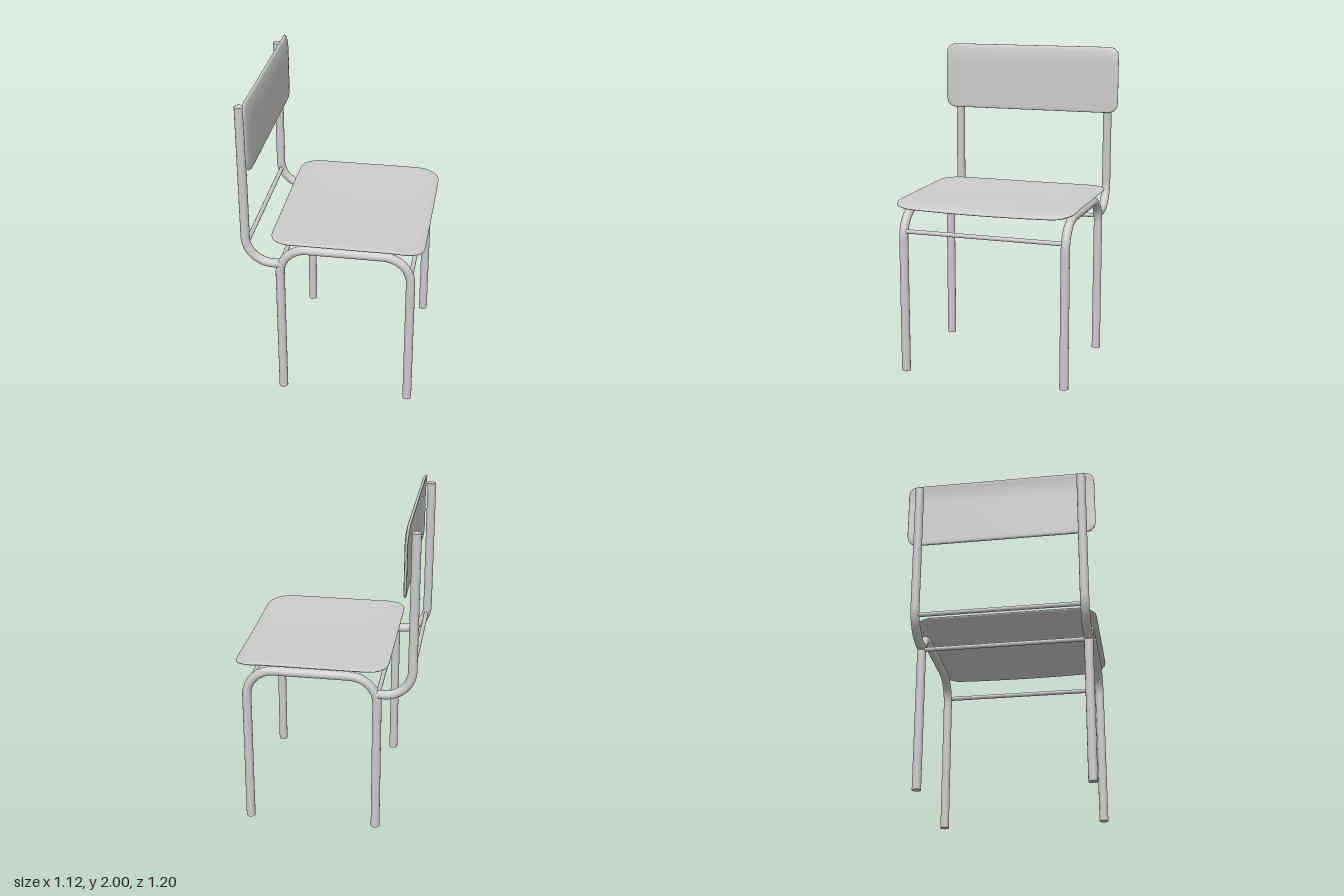
import * as THREE from 'three';

const material = new THREE.MeshStandardMaterial({ color: 0xcccccc, side: THREE.DoubleSide });
const V = (x, y, z = 0) => new THREE.Vector3(x, y, z);
const clamp = (t) => Math.min(1, Math.max(0, t));

// Capped tube along points in the xy plane, with each inner corner rounded by radius r
function bentTube(name, points, r, radius = 0.028) {
  const path = new THREE.CurvePath();
  let from = points[0];
  for (let i = 1; i < points.length - 1; i++) {
    const p = points[i];
    const dirIn = points[i - 1].clone().sub(p).normalize();
    const dirOut = points[i + 1].clone().sub(p).normalize();
    const at = (dir, d) => p.clone().addScaledVector(dir, d);
    path.add(new THREE.LineCurve3(from, at(dirIn, r)));
    path.add(new THREE.CubicBezierCurve3(at(dirIn, r), at(dirIn, r * 0.448), at(dirOut, r * 0.448), at(dirOut, r)));
    from = at(dirOut, r);
  }
  const last = points[points.length - 1];
  path.add(new THREE.LineCurve3(from, last));

  const group = new THREE.Group();
  group.name = name;
  group.add(new THREE.Mesh(new THREE.TubeGeometry(path, 110, radius, 14), material));
  for (const t of [0, 1]) {
    const cap = new THREE.Mesh(new THREE.CircleGeometry(radius, 14), material);
    const outward = path.getTangent(t).multiplyScalar(t ? 1 : -1);
    cap.position.copy(t ? last : points[0]);
    cap.quaternion.setFromUnitVectors(V(0, 0, 1), outward);
    group.add(cap);
  }
  return group;
}

// Thin soft-edged board with a rounded outline; place(u, v, h) bends it into position
function board(name, width, height, corner, thickness, place) {
  const w = width / 2, h = height / 2, c = corner;
  const outline = new THREE.Shape();
  outline.moveTo(w, -h + c);
  outline.lineTo(w, h - c);
  outline.absarc(w - c, h - c, c, 0, Math.PI / 2);
  outline.lineTo(-w + c, h);
  outline.absarc(-w + c, h - c, c, Math.PI / 2, Math.PI);
  outline.lineTo(-w, -h + c);
  outline.absarc(-w + c, -h + c, c, Math.PI, Math.PI * 1.5);
  outline.lineTo(w - c, -h);
  outline.absarc(w - c, -h + c, c, Math.PI * 1.5, Math.PI * 2);
  const N = 96;
  const rim = outline.getSpacedPoints(N);

  // Rings run from the centre of one face, over the edge, to the centre of the other
  const half = [[0, 0.5], [0.2, 0.5], [0.4, 0.5], [0.55, 0.5], [0.7, 0.5], [0.8, 0.5], [0.88, 0.5],
    [0.94, 0.48], [0.975, 0.42], [0.993, 0.3], [1, 0.12]];
  const rings = [...half, ...half.slice().reverse().map(([f, t]) => [f, -t])];

  const positions = [], index = [];
  rings.forEach(([f, t], i) => {
    for (let j = 0; j < N; j++) positions.push(...place(rim[j].x * f, rim[j].y * f, t * thickness));
    if (i === rings.length - 1) return;
    for (let j = 0; j < N; j++) {
      const a = i * N + j, d = i * N + (j + 1) % N;
      index.push(a, a + N, d + N, a, d + N, d);
    }
  });
  const geometry = new THREE.BufferGeometry();
  geometry.setAttribute('position', new THREE.Float32BufferAttribute(positions, 3));
  geometry.setIndex(index);
  geometry.computeVertexNormals();
  const mesh = new THREE.Mesh(geometry, material);
  mesh.name = name;
  return mesh;
}

export function createModel() {
  const model = new THREE.Group();
  model.name = 'chair';

  // Side frames: an arched pair of legs and a curved back upright on each side
  for (const [side, z] of [['left', -0.52], ['right', 0.52]]) {
    const legs = bentTube(side + 'LegArch', [V(-0.325, 0), V(-0.325, 1.035), V(0.48, 1.035), V(0.48, 0)], 0.17);
    const upright = bentTube(side + 'BackUpright', [V(-0.535, 1.955), V(-0.535, 0.925), V(-0.325, 0.928)], 0.17);
    for (const part of [legs, upright]) {
      part.position.z = z;
      model.add(part);
    }
  }

  // Cross bars joining the two sides
  for (const [name, x, y] of [['frontCrossBar', 0.48, 0.91], ['rearCrossBar', -0.325, 0.91], ['backCrossBar', -0.528, 1.05]]) {
    const bar = new THREE.Mesh(new THREE.CylinderGeometry(0.014, 0.014, 1.02, 10), material);
    bar.name = name;
    bar.rotation.x = Math.PI / 2;
    bar.position.set(x, y, 0);
    model.add(bar);
  }

  // Seat: slightly dished, with the front edge rolling down
  model.add(board('seat', 1.14, 0.94, 0.12, 0.02, (u, v, h) => {
    const x = v + 0.085, z = u;
    const dish = 0.012 * (1 - (z / 0.57) ** 2) * clamp((x + 0.385) / 0.4);
    const roll = 0.018 * clamp((x - 0.35) / 0.2) ** 2;
    return [x, 1.094 - dish - roll + h, z];
  }));

  // Backrest: top edge and both ends curve gently backwards
  model.add(board('backrest', 0.43, 1.2, 0.06, 0.02, (u, v, h) => {
    const y = u + 1.785, z = v;
    const ends = 0.01 * clamp((Math.abs(z) - 0.48) / 0.12) ** 2;
    const top = 0.014 * clamp((y - 1.88) / 0.12) ** 2;
    return [-0.477 - ends - top + h, y, z];
  }));

  return model;
}
